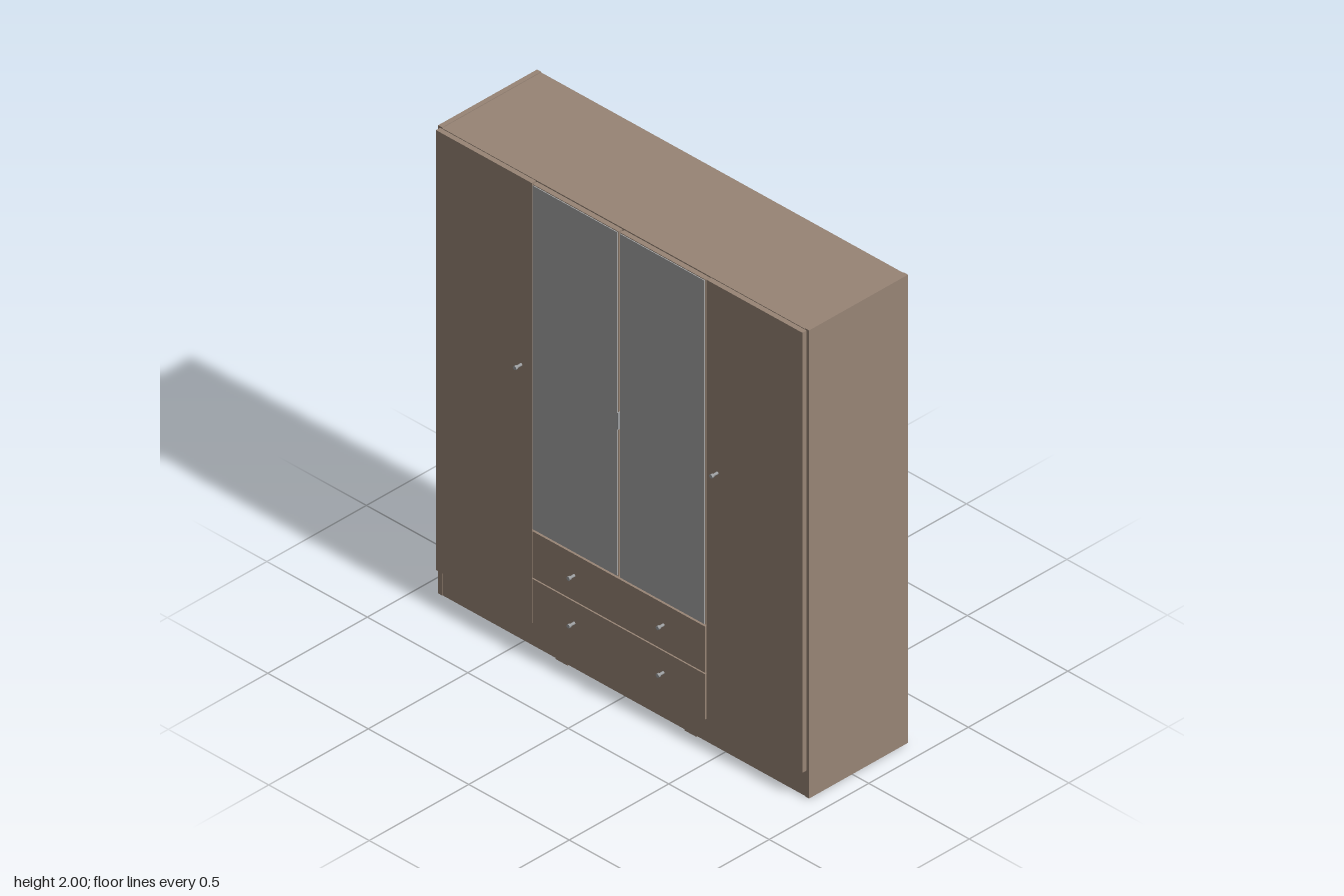
import * as THREE from 'three';

export function createModel() {
  const wardrobe = new THREE.Group();
  wardrobe.name = 'wardrobe';

  const material = (name, color) => {
    const m = new THREE.MeshStandardMaterial({ color });
    m.name = name;
    return m;
  };
  const wood = material('brown wood', 0x978475);
  const mirror = material('mirror grey', 0xa4a4a4);
  const metal = material('knob metal', 0x9a9c9e);

  // Box given by its lower and upper limits on each axis
  const panel = (name, [x0, x1], [y0, y1], [z0, z1], mat = wood) => {
    const mesh = new THREE.Mesh(new THREE.BoxGeometry(x1 - x0, y1 - y0, z1 - z0), mat);
    mesh.position.set((x0 + x1) / 2, (y0 + y1) / 2, (z0 + z1) / 2);
    mesh.name = name;
    wardrobe.add(mesh);
    return mesh;
  };

  const back = -0.275, front = 0.222, inner = 0.903;

  // Carcass
  panel('topPanel', [-inner, inner], [1.977, 1.997], [back, front]);
  panel('floorPanel', [-inner, inner], [0.1, 0.12], [back + 0.006, front]);
  panel('backPanel', [-inner, inner], [0.1, 1.977], [back + 0.002, back + 0.01]);
  panel('frontPlinth', [-inner, inner], [0.005, 0.1], [front - 0.022, front - 0.002]);
  panel('backPlinth', [-inner, inner], [0.005, 0.1], [back + 0.012, back + 0.032]);
  panel('drawerShelf', [-0.426, 0.426], [0.508, 0.528], [back + 0.01, front]);

  for (const s of [-1, 1]) {
    const side = s < 0 ? 'right' : 'left';
    const span = (a, b) => (s < 0 ? [-b, -a] : [a, b]);

    panel(side + 'SidePanel', span(inner, 0.923), [0.005, 2], [back, front]);
    panel(side + 'Divider', span(0.426, 0.446), [0.12, 1.977], [back + 0.01, front]);

    // Outer wooden door
    panel(side + 'OuterDoor', span(0.435, 0.912), [0.12, 1.995], [front + 0.001, 0.244]);

    // Inner door with mirror plate
    panel(side + 'MirrorDoor', span(0.004, 0.43), [0.523, 1.993], [front + 0.001, 0.244]);
    panel(side + 'Mirror', span(0.007, 0.427), [0.526, 1.99], [0.244, 0.248], mirror);
  }

  // Slim pull between the mirror doors
  panel('centrePull', [-0.003, 0.003], [1.155, 1.225], [0.23, 0.252], metal);

  // Drawer fronts
  for (const [y0, y1] of [[0.12, 0.312], [0.318, 0.515]]) {
    panel('drawerFront', [-0.43, 0.43], [y0, y1], [front + 0.001, 0.246]);
  }

  // Round knobs: slim stem with a wider cap
  const knobProfile = [[0, 0], [0.006, 0], [0.005, 0.02], [0.008, 0.024], [0.008, 0.034], [0, 0.034]]
    .map(([r, h]) => new THREE.Vector2(r, h));
  const knobGeometry = new THREE.LatheGeometry(knobProfile, 16).toNonIndexed();
  knobGeometry.computeVertexNormals();
  knobGeometry.rotateX(Math.PI / 2);
  for (const [x, y] of [[0.488, 1.197], [0.222, 0.425], [0.222, 0.222]]) {
    for (const s of [-1, 1]) {
      const knob = new THREE.Mesh(knobGeometry, metal);
      knob.name = y > 1 ? 'doorKnob' : 'drawerKnob';
      knob.position.set(s * x, y, 0.243);
      wardrobe.add(knob);
    }
  }

  // Low feet under the plinths
  for (const x of [-0.31, 0.33]) {
    for (const z of [back + 0.022, front - 0.012]) {
      panel('foot', [x - 0.03, x + 0.03], [0, 0.005], [z - 0.01, z + 0.01]);
    }
  }

  return wardrobe;
}
